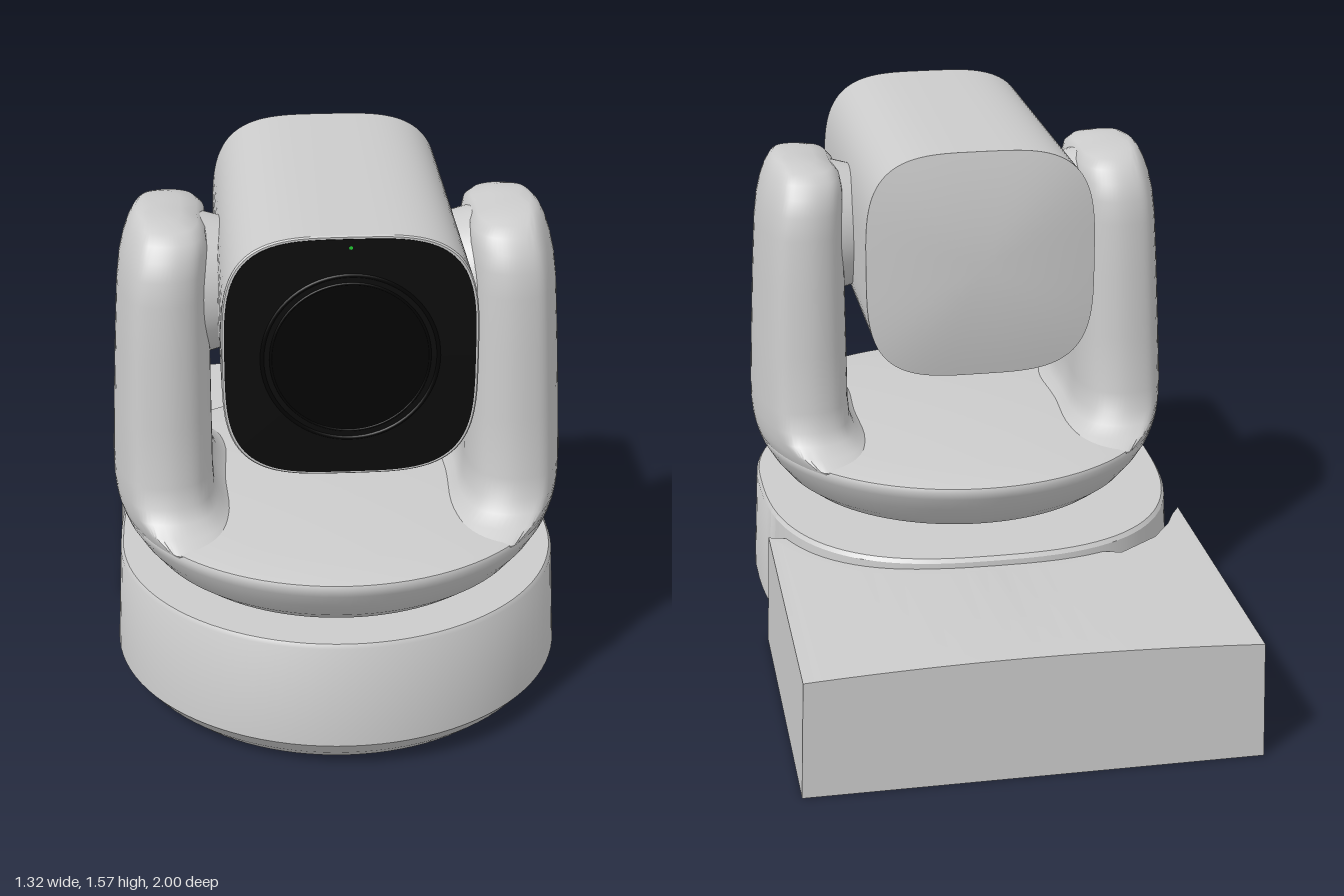
import * as THREE from 'three';
import { toCreasedNormals } from 'three/addons/utils/BufferGeometryUtils.js';

const CZ = 0.335; // turning axis of the camera

// Skin a list of closed rings (counter-clockwise about the loft axis), capped at both ends
function loft(rings, crease = 0.55) {
  const n = rings[0].length, pos = [], idx = [];
  rings.forEach(r => r.forEach(p => pos.push(p.x, p.y, p.z)));
  for (let j = 0; j < rings.length - 1; j++)
    for (let i = 0; i < n; i++) {
      const a = j * n + i, b = j * n + (i + 1) % n;
      idx.push(a, b, b + n, a, b + n, a + n);
    }
  [0, rings.length - 1].forEach((j, end) => {
    const c = new THREE.Vector3();
    rings[j].forEach(p => c.addScaledVector(p, 1 / n));
    const k = pos.length / 3;
    pos.push(c.x, c.y, c.z);
    for (let i = 0; i < n; i++) {
      const a = j * n + i, b = j * n + (i + 1) % n;
      if (end) idx.push(k, a, b); else idx.push(k, b, a);
    }
  });
  const g = new THREE.BufferGeometry();
  g.setAttribute('position', new THREE.Float32BufferAttribute(pos, 3));
  g.setIndex(idx);
  return toCreasedNormals(g, crease);
}

// Superellipse points in 2D
function superellipse(a, b, e, n = 96) {
  const f = v => Math.sign(v) * Math.abs(v) ** (2 / e);
  return Array.from({ length: n }, (_, i) => {
    const t = i / n * Math.PI * 2;
    return new THREE.Vector2(a * f(Math.cos(t)), b * f(Math.sin(t)));
  });
}

// Base outline: round at the front, longer and squarer at the back
const BACK = 2.7;
function baseRing(s, y) {
  const front = superellipse(0.66, 0.66, 2), back = superellipse(0.66, 0.76, BACK);
  return front.map((p, i) => {
    const q = i < 48 ? back[i] : p;
    return new THREE.Vector3(q.x * s, y, -q.y * s);
  });
}

// Rear housing: crowned block whose front is scooped to hug the base
function tailGeometry() {
  const n = 40, shape = new THREE.Shape();
  for (let i = 0; i <= n; i++) {
    const x = -0.66 + 1.32 * i / n;
    if (i) shape.lineTo(x, 0); else shape.moveTo(x, 0);
  }
  for (let i = n; i >= 0; i--) {
    const u = 2 * i / n - 1;
    shape.lineTo(0.648 * u, 0.355 + 0.02 * (1 - u * u));
  }
  const g = new THREE.ExtrudeGeometry(shape, { depth: 1, bevelEnabled: false });
  const p = g.attributes.position;
  for (let i = 0; i < p.count; i++) {
    const x = p.getX(i), low = p.getY(i) < 0.1;
    const s = low && Math.abs(x) < 0.54 ? 0.88 : 1.02;
    const k = Math.max(0, 1 - (Math.abs(x) / (0.66 * s)) ** BACK) ** (1 / BACK);
    const front = Math.min(low ? -0.035 : -0.05, CZ - 0.76 * s * k);
    p.setZ(i, p.getZ(i) > 0.5 ? front : -1);
  }
  g.deleteAttribute('normal');
  g.deleteAttribute('uv');
  return toCreasedNormals(g, 0.4);
}

// Upright arm: D-shaped sections, kept within the round plan of the yoke
function armGeometry() {
  const half = [[0.94, 0.5], [0.78, 0.9], [0.6, 0.99], [0.35, 1], [0.12, 0.88], [0, 0.58]];
  const pts = [[1, 0], ...half, [0, 0], ...half.slice().reverse().map(([u, v]) => [u, -v])];
  const section = new THREE.CatmullRomCurve3(
    pts.map(([u, v]) => new THREE.Vector3(u, v, 0)), true).getPoints(64).slice(0, -1);
  // y, inner x, outer x, half depth
  const levels = [
    [0.46, 0.30, 0.56, 0.38], [0.53, 0.30, 0.615, 0.42], [0.575, 0.30, 0.64, 0.43],
    [0.60, 0.325, 0.647, 0.38], [0.625, 0.352, 0.651, 0.335], [0.66, 0.366, 0.654, 0.312],
    [0.72, 0.37, 0.654, 0.298], [0.9, 0.37, 0.646, 0.288], [1.1, 0.37, 0.636, 0.277],
    [1.26, 0.37, 0.626, 0.268], [1.33, 0.37, 0.617, 0.26], [1.38, 0.37, 0.605, 0.243],
    [1.42, 0.375, 0.591, 0.215], [1.445, 0.395, 0.578, 0.18], [1.46, 0.44, 0.565, 0.13],
    [1.467, 0.49, 0.55, 0.07]];
  return loft(levels.map(([y, xi, xo, d]) => section.map(p => {
    const v = new THREE.Vector2(xi + p.x * (xo - xi), -p.y * d);
    if (v.length() > xo) v.setLength(xo);
    return new THREE.Vector3(v.x, y, v.y);
  })), 0.9);
}

export function createModel() {
  const model = new THREE.Group();
  model.name = 'panTiltCamera';
  const paint = (color) => new THREE.MeshStandardMaterial({ color });
  const grey = paint(0xcccccc), black = paint(0x0c0c0c), darker = paint(0x040404);
  const add = (parent, name, geometry, material = grey, x = 0, y = 0, z = 0) => {
    const m = new THREE.Mesh(geometry, material);
    m.name = name;
    m.position.set(x, y, z);
    parent.add(m);
    return m;
  };

  // Base and rear housing
  add(model, 'base', loft([[0.88, 0], [0.94, 0.035], [1, 0.082], [0.977, 0.388], [0.965, 0.4]]
    .map(([s, y]) => baseRing(s, y))), grey, 0, 0, CZ + 0.005);
  add(model, 'rearHousing', tailGeometry());

  // Yoke: dish with two arms and pivots
  const yoke = new THREE.Group();
  yoke.name = 'yoke';
  yoke.position.z = CZ;
  model.add(yoke);
  const dish = [[0.48, 0.395], [0.515, 0.41], [0.56, 0.445], [0.6, 0.495], [0.627, 0.54],
    [0.637, 0.565], [0.632, 0.577], [0.61, 0.582], [0.5, 0.592], [0.3, 0.605], [0.1, 0.61]];
  add(yoke, 'dish', loft(dish.map(([r, y]) =>
    superellipse(r, r, 2).map(p => new THREE.Vector3(p.x, y, -p.y))), 0.9));
  const arm = armGeometry();
  const pivot = new THREE.CylinderGeometry(0.18, 0.205, 0.09, 48).rotateZ(Math.PI / 2);
  ['left', 'right'].forEach((side, i) => {
    const g = new THREE.Group();
    g.name = side + 'Support';
    g.rotation.y = i * Math.PI;
    yoke.add(g);
    add(g, side + 'Arm', arm);
    add(g, side + 'Pivot', pivot, grey, 0.345, 1.23, 0);
  });

  // Head: rounded-square tube with a domed back
  const head = new THREE.Group();
  head.name = 'head';
  head.position.y = 1.225;
  model.add(head);
  const ring = (s, z) => superellipse(0.343 * s, 0.345 * s, 3.6)
    .map(p => new THREE.Vector3(p.x, p.y, z));
  const dome = [0.15, 0.3, 0.45, 0.6, 0.75, 0.9, 1].map(s => ring(s, -0.13 - 0.036 * (1 - s * s)));
  add(head, 'housing', loft([...dome, ring(1, 0.88), ring(0.99, 0.885)], 0.4));

  // Dark front window, lens rings and status light
  add(head, 'frontWindow', loft([ring(0.975, 0.87), ring(0.975, 0.887)]), black);
  add(head, 'lensRing', new THREE.TorusGeometry(0.235, 0.006, 8, 72), darker, 0, 0, 0.885);
  add(head, 'lensInnerRing', new THREE.TorusGeometry(0.212, 0.004, 8, 72), darker, 0, 0, 0.886);
  add(head, 'lensGlass', new THREE.CircleGeometry(0.21, 64), darker, 0, 0, 0.8885);
  add(head, 'statusLight', new THREE.CircleGeometry(0.005, 16), paint(0x22cc33), 0, 0.313, 0.889);
  return model;
}
